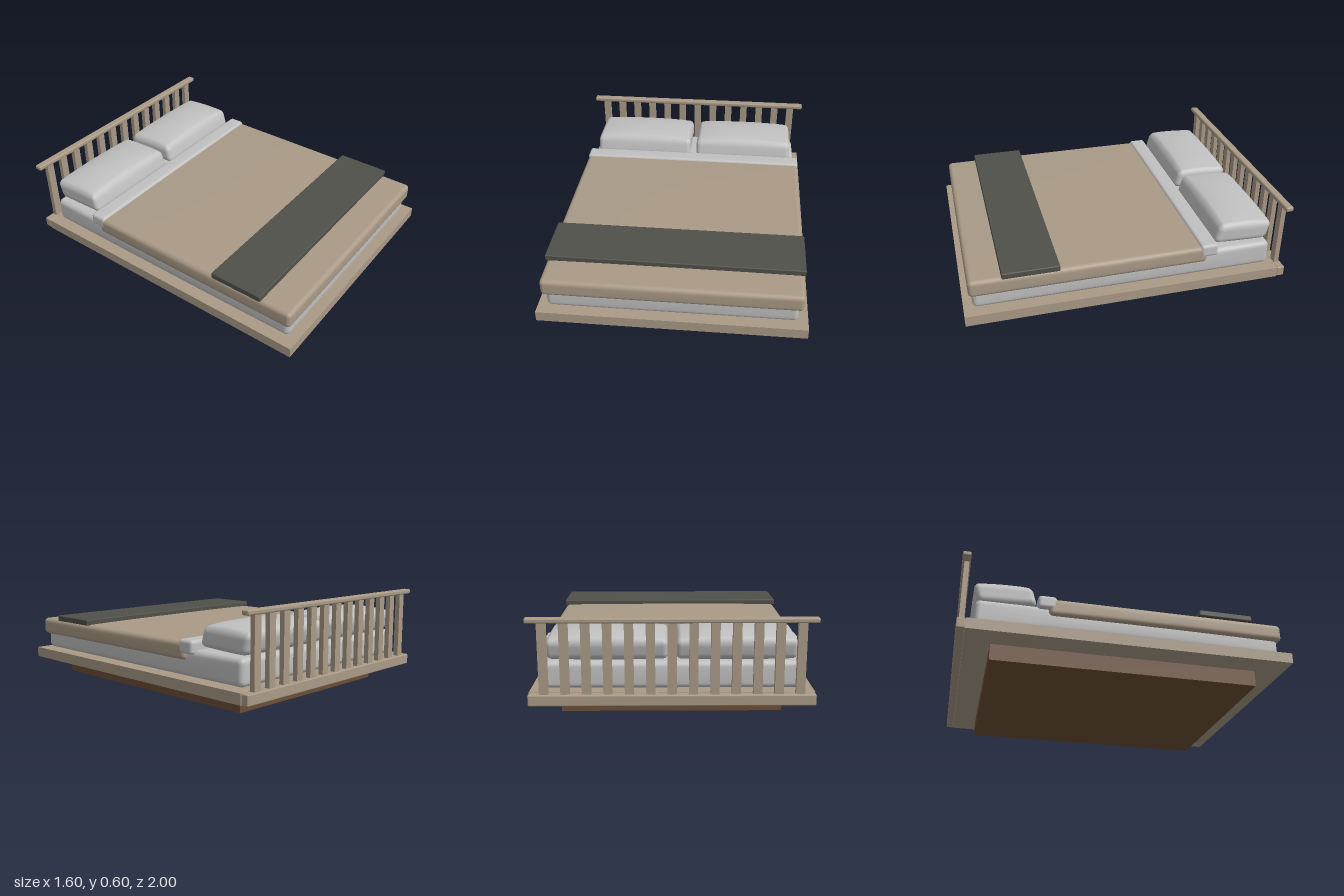
import * as THREE from 'three';
import { mergeVertices } from 'three/addons/utils/BufferGeometryUtils.js';
import { RoundedBoxGeometry } from 'three/addons/geometries/RoundedBoxGeometry.js';

const material = (name, color) => {
  const m = new THREE.MeshStandardMaterial({ color });
  m.name = name;
  return m;
};

// Box with rounded edges whose large faces swell by `puff` (x, top, bottom, z)
function cushion(w, h, d, r, puff = {}) {
  const N = 14, K = 3;
  const { x: px = 0, top = 0, bottom = 0, z: pz = 0, lean = 0 } = puff;
  let geo = new THREE.BoxGeometry(1, 1, 1, N, N, N);
  geo.deleteAttribute('uv');
  geo.deleteAttribute('normal');
  geo = mergeVertices(geo, 1e-4);
  const pos = geo.attributes.position;
  const half = [w / 2, h / 2, d / 2];
  const inner = new THREE.Vector3(), off = new THREE.Vector3();
  for (let i = 0; i < pos.count; i++) {
    for (let a = 0; a < 3; a++) {
      const k = Math.round((pos.getComponent(i, a) + 0.5) * N);
      const flat = half[a] - r;
      // the outer K rows turn the corner, the others span the flat part
      const c = THREE.MathUtils.clamp(k, K, N - K);
      inner.setComponent(a, ((c - K) / (N - 2 * K) * 2 - 1) * flat);
      off.setComponent(a, Math.tan((k - c) / K * Math.PI / 4));
    }
    const p = off.normalize().multiplyScalar(r).add(inner);
    const u = p.x / half[0], v = p.y / half[1], s = p.z / half[2];
    const fx = 1 - u * u, fy = 1 - v * v, fz = 1 - s * s;
    const lift = Math.sqrt(Math.max(0, fx)) * Math.sqrt(Math.max(0, fz));
    pos.setXYZ(i,
      p.x + px * u * fy * fz,
      p.y + (v > 0 ? top : bottom) * v * lift,
      p.z + pz * s * fx * fy + lean * v);
  }
  geo.computeVertexNormals();
  return geo;
}

export function createModel() {
  const bed = new THREE.Group();
  bed.name = 'bed';
  const tan = material('tan', 0xa99a86);
  const white = material('soft white', 0xc0c0c0);
  const charcoal = material('charcoal', 0x4f5049);
  const brown = material('brown', 0x6b4e34);

  const add = (name, geo, mat, x, y, z, parent = bed) => {
    const mesh = new THREE.Mesh(geo, mat);
    mesh.name = name;
    mesh.position.set(x, y, z);
    parent.add(mesh);
    return mesh;
  };

  // Base and platform
  add('base', new THREE.BoxGeometry(1.28, 0.1, 1.62), brown, 0, 0.05, 0.01);
  add('platform', new THREE.BoxGeometry(1.6, 0.065, 1.95), tan, 0, 0.1325, 0.025);

  // Headboard: two rails joined by upright slats
  const headboard = new THREE.Group();
  headboard.name = 'headboard';
  bed.add(headboard);
  add('bottomRail', new RoundedBoxGeometry(1.6, 0.065, 0.05, 2, 0.008), tan, 0, 0.1325, -0.975, headboard);
  add('topRail', new RoundedBoxGeometry(1.6, 0.03, 0.05, 2, 0.01), tan, 0, 0.585, -0.975, headboard);
  const slat = new THREE.BoxGeometry(0.05, 0.42, 0.03);
  for (let i = -6; i <= 6; i++) {
    add('slat', slat, tan, i * 0.1185, 0.37, -0.972, headboard);
  }

  // Mattress and bedding
  add('mattress', cushion(1.48, 0.158, 1.85, 0.03, { x: 0.008, top: 0.003, bottom: 0.004, z: 0.005 }),
    white, 0, 0.25, 0.02);
  add('duvet', cushion(1.532, 0.107, 1.448, 0.025, { x: 0.004, top: 0.006, z: 0.003 }),
    tan, 0, 0.32, 0.24);
  add('foldedSheet', cushion(1.535, 0.08, 0.11, 0.018, { top: 0.004 }),
    white, 0, 0.346, -0.495);
  add('throwBlanket', new RoundedBoxGeometry(1.55, 0.038, 0.34, 2, 0.007),
    charcoal, 0, 0.39, 0.6);

  // Pair of plump pillows leaning towards the headboard
  const pillow = cushion(0.686, 0.115, 0.345, 0.03, { top: 0.04, bottom: 0.015, lean: -0.014, z: 0.004 });
  for (const side of [-1, 1]) {
    add(side > 0 ? 'leftPillow' : 'rightPillow', pillow, white, side * 0.365, 0.402, -0.735)
      .rotation.x = -0.04;
  }
  return bed;
}
